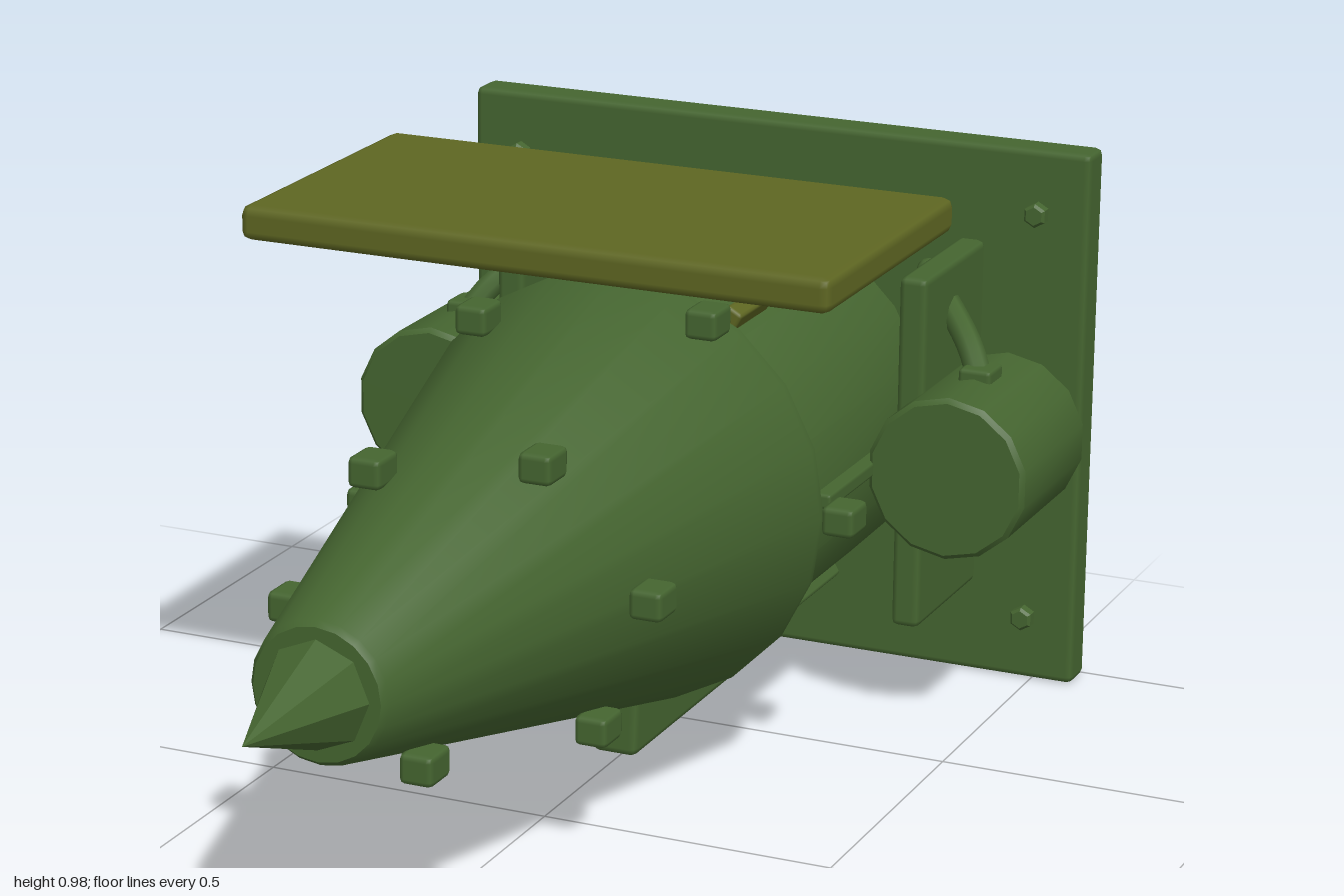
import * as THREE from 'three';
import { toCreasedNormals } from 'three/addons/utils/BufferGeometryUtils.js';
import { RoundedBoxGeometry } from 'three/addons/geometries/RoundedBoxGeometry.js';

const AXIS = 0.48; // height of the drill's long axis

export function createModel() {
  const model = new THREE.Group();
  model.name = 'drillAttachment';
  const green = new THREE.MeshStandardMaterial({ color: 0x456530 });
  green.name = 'army green';
  const olive = new THREE.MeshStandardMaterial({ color: 0x5e6622 });
  olive.name = 'olive';

  function add(name, geometry, x, y, z, material = green) {
    const mesh = new THREE.Mesh(geometry, material);
    mesh.name = name;
    mesh.position.set(x, y, z);
    model.add(mesh);
    return mesh;
  }
  const box = (w, h, d, bevel = 0.01) => new RoundedBoxGeometry(w, h, d, 1, bevel);

  // Turned part along z; profile is [radius, z] from back to front
  function turned(profile, sides, crease = 0.6) {
    const g = new THREE.LatheGeometry(profile.map(p => new THREE.Vector2(...p)), sides);
    g.rotateX(Math.PI / 2);
    return toCreasedNormals(g, crease);
  }

  // Drill cone, collar and faceted tip
  add('drillCone', turned([[0, -0.29], [0.355, -0.29], [0.365, -0.28], [0.365, -0.265],
    [0.113, 0.765], [0.105, 0.775], [0, 0.775]], 20), 0, AXIS, 0);
  add('drillTip', turned([[0, 0.765], [0.09, 0.765], [0, 1]], 8), 0, AXIS, 0);

  // Cutting studs spiralling back along the cone
  for (let i = 0; i < 12; i++) {
    const z = 0.605 - i * 0.0815;
    const a = -(i + 1) * Math.PI / 3;
    const r = 0.138 + (0.77 - z) * 0.243;
    add('cuttingStud', box(0.056, 0.05, 0.07, 0.01), Math.cos(a) * r, AXIS + Math.sin(a) * r, z);
  }

  // Motor housing with rear boss and shaft
  add('motorHousing', turned([[0, -0.86], [0.31, -0.86], [0.325, -0.845],
    [0.325, -0.33], [0.315, -0.315], [0, -0.315]], 20), 0, AXIS, 0);
  add('rearBoss', turned([[0, -0.91], [0.03, -0.91], [0.04, -0.9], [0.04, -0.85], [0, -0.85]], 10), 0, AXIS, 0);
  add('rearShaft', turned([[0, -0.94], [0.02, -0.94], [0.02, -0.9], [0, -0.9]], 8), 0, AXIS, 0);

  // Cooling ribs round the housing; the upper two have olive front ends
  for (let i = 0; i < 6; i++) {
    const a = i * Math.PI / 3;
    const x = Math.cos(a) * 0.328, y = AXIS + Math.sin(a) * 0.328;
    add('coolingRib', box(0.04, 0.026, 0.47, 0.006), x, y, -0.585).rotation.z = a;
    if (i === 1 || i === 2) {
      add('ribEnd', box(0.044, 0.032, 0.14, 0.006), x, y, -0.42, olive).rotation.z = a;
    }
  }

  // Mounting plate
  add('mountingPlate', box(1.15, 0.95, 0.07, 0.012), 0, 0.475, -0.965);

  // Keel beam, narrowing downwards
  const keel = box(0.09, 0.14, 0.635, 0.014);
  const kp = keel.attributes.position;
  for (let i = 0; i < kp.count; i++) kp.setX(i, kp.getX(i) * (0.88 + 0.8 * (kp.getY(i) + 0.07)));
  add('keelBeam', keel, 0, 0.08, -0.585);

  // Top shield
  add('topShield', box(1.01, 0.058, 0.54, 0.016), 0, 0.955, -0.2, olive);

  // Side brackets, tanks, hoses and plate bolts
  for (const s of [1, -1]) {
    add('sideBracket', box(0.05, 0.615, 0.285, 0.012), s * 0.37, 0.478, -0.785);
    add('sideTank', turned([[0, -0.84], [0.132, -0.84], [0.14, -0.832],
      [0.14, -0.548], [0.132, -0.54], [0, -0.54]], 14), s * 0.475, AXIS, 0);
    add('hoseFitting', box(0.058, 0.03, 0.065, 0.008), s * 0.475, 0.62, -0.695);
    const path = new THREE.CatmullRomCurve3([
      new THREE.Vector3(s * 0.475, 0.61, -0.695),
      new THREE.Vector3(s * 0.44, 0.66, -0.73),
      new THREE.Vector3(s * 0.33, 0.745, -0.83)]);
    add('hose', new THREE.TubeGeometry(path, 10, 0.022, 8), 0, 0, 0);
    add('hoseEnd', new THREE.SphereGeometry(0.024, 8, 6), s * 0.33, 0.745, -0.83);
    for (const y of [0.115, 0.84]) {
      add('plateBolt', turned([[0, -0.94], [0.021, -0.94], [0.021, -0.912], [0.016, -0.907], [0, -0.907]], 6),
        s * 0.485, y, 0);
    }
  }
  return model;
}
